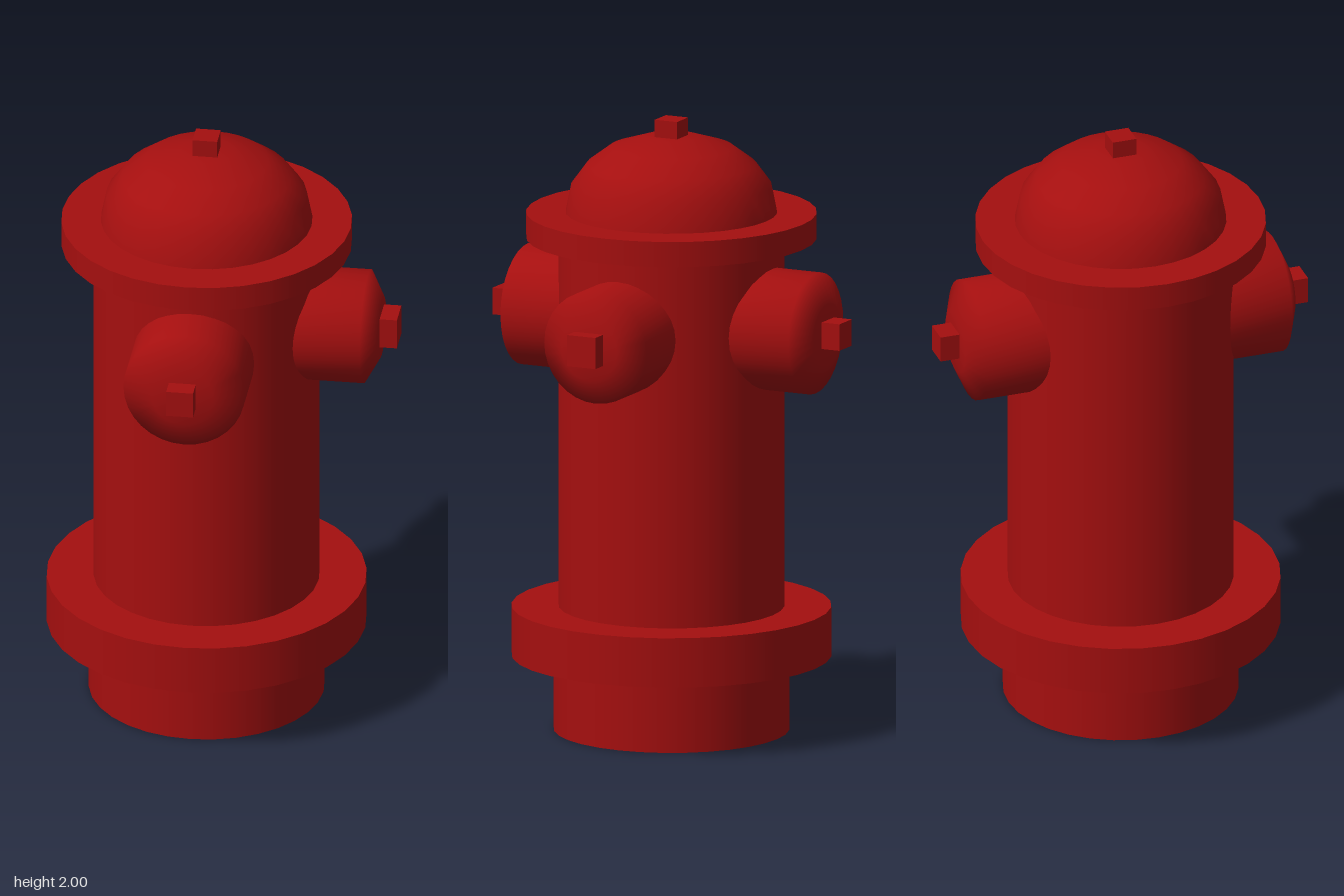
import * as THREE from 'three';

export function createModel() {
  const model = new THREE.Group();
  model.name = 'fireHydrant';
  const red = new THREE.MeshStandardMaterial({ color: 0xa50f0f });
  red.name = 'hydrant red';
  const SIDES = 32;

  const add = (parent, name, geometry, x = 0, y = 0, z = 0) => {
    const mesh = new THREE.Mesh(geometry, red);
    mesh.name = name;
    mesh.position.set(x, y, z);
    parent.add(mesh);
    return mesh;
  };
  const lathe = (points) =>
    new THREE.LatheGeometry(points.map(([r, y]) => new THREE.Vector2(r, y)), SIDES);

  // The barrel axis sits off centre because only one side has an outlet
  const barrel = new THREE.Group();
  barrel.name = 'barrel';
  barrel.position.x = -0.058;
  model.add(barrel);

  // Stacked cylinders: name, radius, bottom, top
  [
    ['base', 0.379, 0, 0.243],
    ['lowerFlange', 0.514, 0.243, 0.405],
    ['body', 0.363, 0.405, 1.612],
    ['upperFlange', 0.467, 1.612, 1.695],
  ].forEach(([name, r, y0, y1]) =>
    add(barrel, name, new THREE.CylinderGeometry(r, r, y1 - y0, SIDES), 0, (y0 + y1) / 2));

  // Domed bonnet and its operating nut
  add(barrel, 'bonnet', lathe([
    [0.34, 1.695], [0.322, 1.785], [0.272, 1.853], [0.198, 1.908], [0.087, 1.943], [0, 1.943],
  ]));
  add(barrel, 'topNut', new THREE.BoxGeometry(0.08, 0.08, 0.08), 0, 1.96, 0);

  // Outlet built along +y, then tipped outward to face +z and turned about the barrel
  const addOutlet = (name, turn, r, shoulder, end, nutEnd, nutSize, y, z = 0) => {
    const outlet = new THREE.Group();
    outlet.name = name;
    outlet.position.set(0, y, z);
    outlet.rotation.set(0, turn, 0);
    const cap = add(outlet, 'outletCap',
      lathe([[r, 0.2], [r, shoulder], [0.1, end], [0, end]]));
    cap.rotation.x = Math.PI / 2;
    const start = end - 0.03;
    add(outlet, 'outletNut', new THREE.BoxGeometry(nutSize, nutSize, nutEnd - start),
      0, 0.005, (start + nutEnd) / 2);
    barrel.add(outlet);
  };
  addOutlet('frontOutlet', 0, 0.197, 0.515, 0.559, 0.621, 0.087, 1.345);
  addOutlet('backOutlet', Math.PI, 0.197, 0.518, 0.561, 0.625, 0.087, 1.345);
  addOutlet('leftOutlet', Math.PI / 2, 0.184, 0.523, 0.569, 0.625, 0.102, 1.348, 0.01);

  return model;
}
